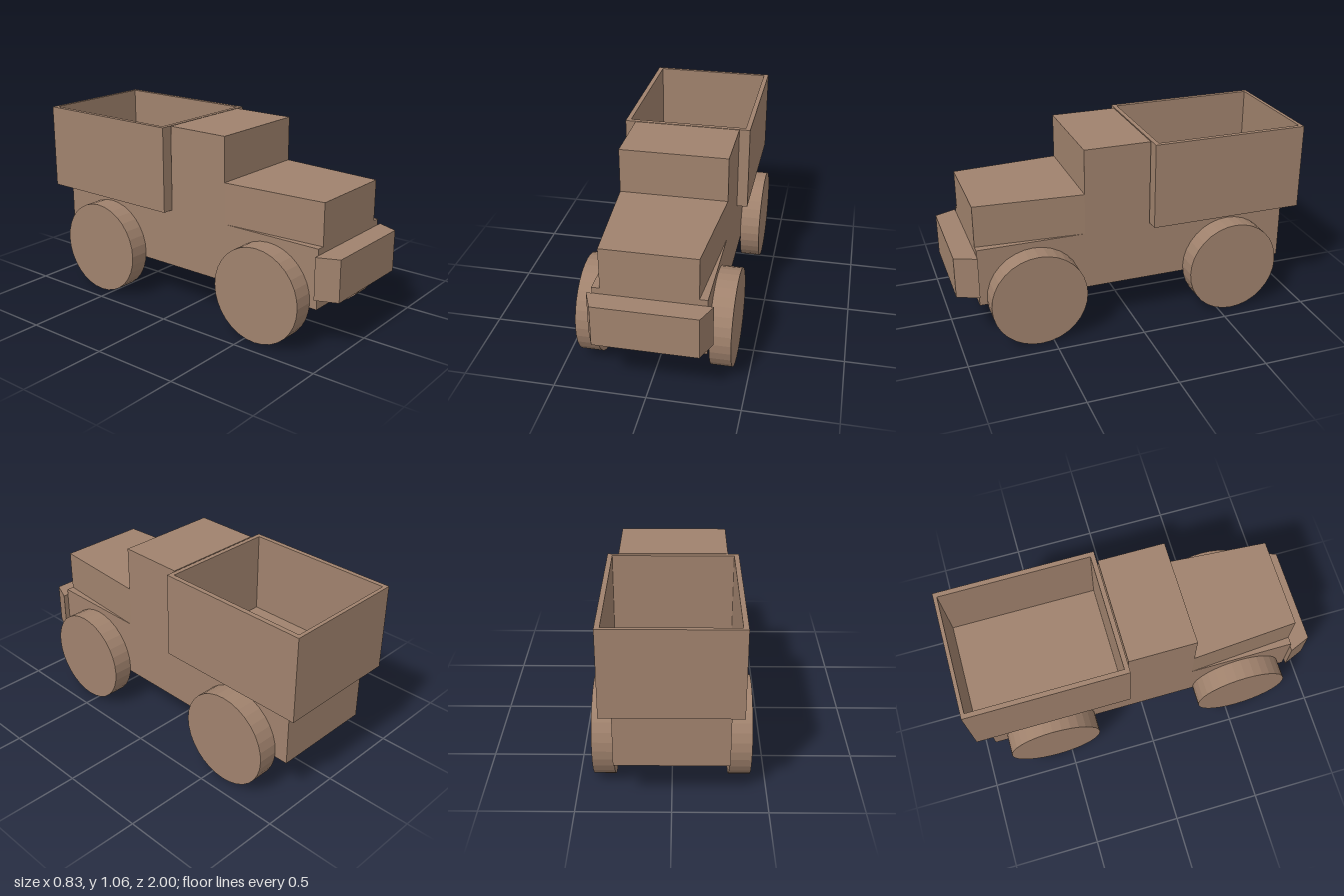
import * as THREE from 'three';

export function createModel() {
  const truck = new THREE.Group();
  truck.name = 'truck';
  const brown = new THREE.MeshStandardMaterial({ color: 0xa0826d, flatShading: true });
  brown.name = 'brown';

  function add(name, geometry) {
    const mesh = new THREE.Mesh(geometry, brown);
    mesh.name = name;
    truck.add(mesh);
    return mesh;
  }

  // Box given by half width, height range and length range
  function box(name, halfWidth, y0, y1, z0, z1) {
    const geometry = new THREE.BoxGeometry(halfWidth * 2, y1 - y0, z1 - z0);
    geometry.translate(0, (y0 + y1) / 2, (z0 + z1) / 2);
    return add(name, geometry);
  }

  // Plan outline (trapezoid in x, z), symmetric about x = 0
  function outline(backHalf, frontHalf, zBack, zFront) {
    return [[-backHalf, zBack], [backHalf, zBack], [frontHalf, zFront], [-frontHalf, zFront]]
      .map(([x, z]) => new THREE.Vector2(x, z));
  }

  // Upright prism from a plan outline, with an optional opening
  function prism(name, points, y0, y1, opening) {
    const shape = new THREE.Shape(points);
    if (opening) shape.holes.push(new THREE.Path(opening));
    const geometry = new THREE.ExtrudeGeometry(shape, { depth: y1 - y0, bevelEnabled: false });
    geometry.rotateX(Math.PI / 2).translate(0, y1, 0);
    return add(name, geometry);
  }

  // Body
  box('chassis', 0.3, 0.238, 0.572, -0.925, 0.88);
  box('cab', 0.3, 0.572, 1.06, -0.1, 0.277);
  prism('hood', outline(0.3, 0.257, 0.277, 0.88), 0.572, 0.806);
  prism('bumper', outline(0.33, 0.28, 0.88, 1), 0.302, 0.537);

  // Open cargo bed
  prism('bedWalls', outline(0.36, 0.36, -1, -0.106), 0.572, 1.06,
    outline(0.333, 0.333, -0.979, -0.132));
  box('bedFloor', 0.334, 0.572, 0.6, -0.98, -0.131);

  // Wheels
  const radius = 0.268, width = 0.115;
  const wheelGeometry = new THREE.CylinderGeometry(radius, radius, width, 32).rotateZ(Math.PI / 2);
  for (const [end, z] of [['front', 0.57], ['rear', -0.58]]) {
    for (const [side, sign] of [['Left', 1], ['Right', -1]]) {
      add(end + side + 'Wheel', wheelGeometry).position.set(sign * (0.3 + width / 2), radius, z);
    }
  }

  return truck;
}
